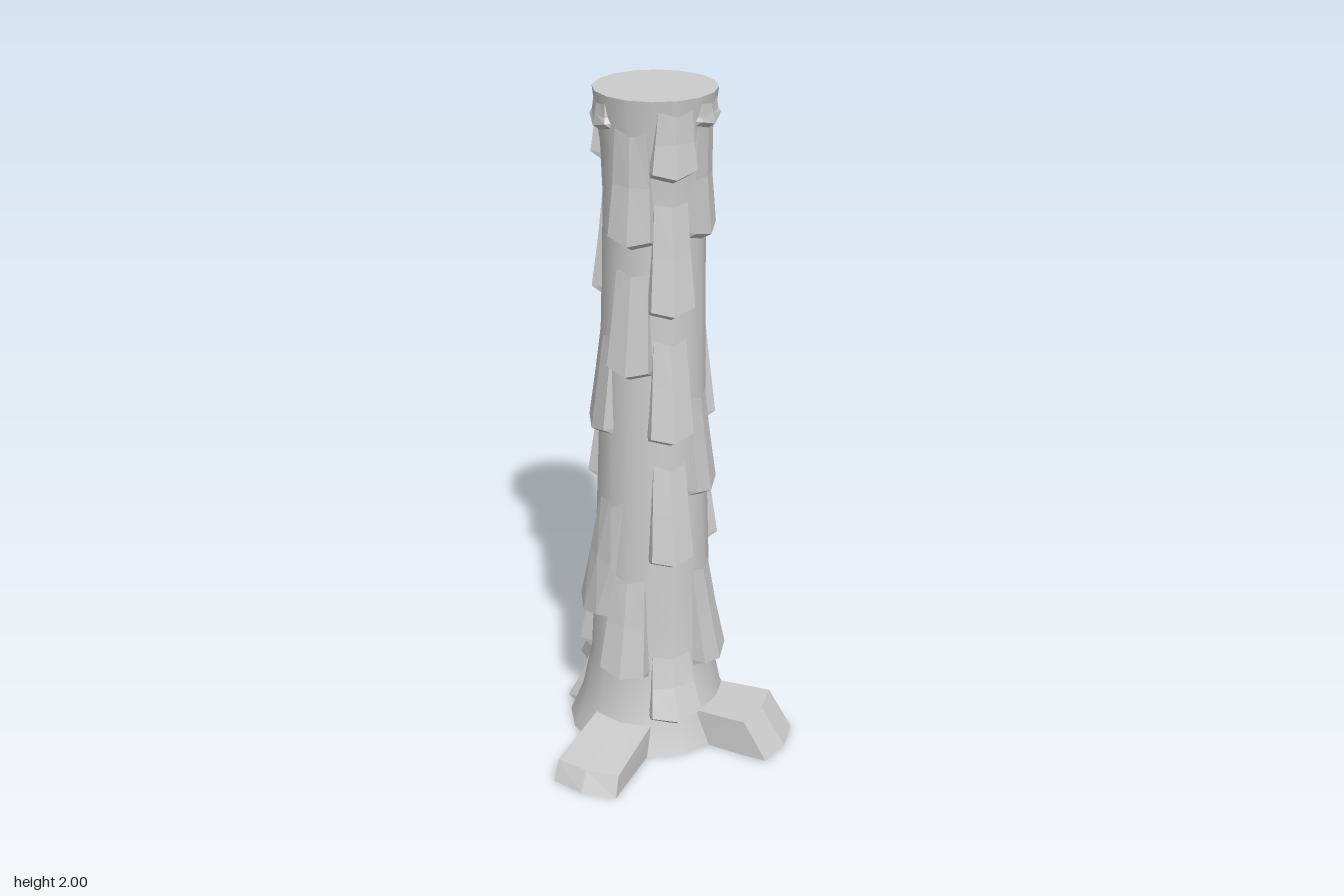
import * as THREE from 'three';

const material = new THREE.MeshStandardMaterial({ color: 0xcccccc });
const flatMaterial = new THREE.MeshStandardMaterial({ color: 0xcccccc, flatShading: true });

// Trunk profile as [height, radius], and its slightly wandering centre line
const PROFILE = [[0, 0.255], [0.1, 0.215], [0.25, 0.185], [0.5, 0.172], [1, 0.155],
  [1.5, 0.145], [1.7, 0.142], [1.85, 0.15], [2, 0.171]];

function radiusAt(y) {
  const i = Math.max(1, PROFILE.findIndex(([h]) => h >= y));
  const [y0, r0] = PROFILE[i - 1], [y1, r1] = PROFILE[i];
  return THREE.MathUtils.mapLinear(y, y0, y1, r0, r1);
}
const centreX = (y) => -0.04 + 0.01 * y;
const centreZ = (y) => -0.06 + 0.02 * Math.min(1, y / 0.8);

// Point at a distance out and sideways from the centre line; angle 0 is the front, 90 is +x
function place(degrees, out, side, y, atY = y) {
  const a = THREE.MathUtils.degToRad(degrees);
  return [centreX(atY) + out * Math.sin(a) + side * Math.cos(a), y,
    centreZ(atY) + out * Math.cos(a) - side * Math.sin(a)];
}

// Flat-shaded skin through equal cross-section loops
function skin(rows) {
  const pos = [];
  const n = rows[0].length;
  for (let i = 0; i < rows.length - 1; i++) {
    for (let j = 0; j < n; j++) {
      const k = (j + 1) % n;
      const a = rows[i][j], b = rows[i + 1][j], c = rows[i + 1][k], d = rows[i][k];
      pos.push(...a, ...b, ...c, ...a, ...c, ...d);
    }
  }
  const geometry = new THREE.BufferGeometry();
  geometry.setAttribute('position', new THREE.Float32BufferAttribute(pos, 3));
  geometry.computeVertexNormals();
  return geometry;
}

function addMesh(parent, name, geometry, mat) {
  const mesh = new THREE.Mesh(geometry, mat);
  mesh.name = name;
  parent.add(mesh);
  return mesh;
}

// Bark plate: flush at the top, lifting to a pointed lip with a slanted underside
function barkPlate(angle, bottom, { length = 0.36, lift = 0.03, half = 0.07, twist = 0 } = {}) {
  const top = Math.min(bottom + length, 1.99);
  const row = (y, offset, w, point, turn) => {
    const at = (side, extra, drop) => {
      const h = Math.max(0, y - drop);
      const r = radiusAt(h);
      return place(angle + turn, Math.sqrt(r * r - side * side) + offset + extra, side, h);
    };
    return [at(-w, -0.05 - offset, 0), at(-w, 0, 0), at(0, 0, point), at(w, 0, 0), at(w, -0.05 - offset, 0)];
  };
  const middle = (top + bottom) / 2;
  return skin([
    row(top, -0.006, half * 0.72, 0, twist),
    row(middle, lift * 0.42, half * 0.86, 0, twist / 2),
    row(bottom + 0.035, lift, half, 0.018, 0),
    row(bottom + 0.01, -0.015, half * 0.95, 0.018, 0),
  ]);
}

// Root: a blunt wedge reaching out along the ground, with a pointed end
function root(angle, crease, creaseHeight, end) {
  const row = (out, height, half, tip) => [
    place(angle, out, -half, 0, 0), place(angle, out, -half * 0.97, height, 0),
    place(angle, out + tip, 0, height, 0),
    place(angle, out, half * 0.97, height, 0), place(angle, out, half, 0, 0),
    place(angle, out + tip, 0, 0, 0),
  ];
  return skin([row(0.08, 0.105, 0.09, 0), row(crease, creaseHeight, 0.102, 0.015), row(end, 0, 0.104, 0.02)]);
}

export function createModel() {
  const model = new THREE.Group();
  model.name = 'treeTrunk';

  // Trunk: turned profile, shifted along the centre line
  const profile = [];
  for (let i = 0; i < PROFILE.length; i++) profile.push(new THREE.Vector2(PROFILE[i][1], PROFILE[i][0]));
  const trunk = new THREE.LatheGeometry(profile, 16);
  const p = trunk.attributes.position;
  for (let i = 0; i < p.count; i++) {
    const y = p.getY(i);
    p.setX(i, p.getX(i) + centreX(y));
    p.setZ(i, p.getZ(i) + centreZ(y));
  }
  addMesh(model, 'trunk', trunk, material);

  // Cut top and underside
  for (const [name, y, tilt] of [['cutTop', 2, -1], ['underside', 0, 1]]) {
    const cap = addMesh(model, name, new THREE.CircleGeometry(radiusAt(y), 16), material);
    cap.rotation.x = tilt * Math.PI / 2;
    cap.position.set(centreX(y), y, centreZ(y));
  }

  // Bark plates: lower edges for each column round the trunk
  const columns = {
    0: [0.23, 1.2, 1.58],
    45: [0.09, 0.61, 1.0, 1.38, 1.77],
    90: [0.24, 0.81, 1.59, 1.9],
    135: [0.61, 1.01],
    180: [0, 0.42, 0.81, 1.39, 1.78],
    225: [0.1, 0.62, 1.15, 1.58],
    270: [0, 0.22, 0.81, 1.39, 1.78],
    315: [0.4, 1.0, 1.89],
  };
  const bark = new THREE.Group();
  bark.name = 'bark';
  model.add(bark);
  for (const [angle, bottoms] of Object.entries(columns)) {
    for (const bottom of bottoms) {
      const options = { lift: bottom < 0.5 ? 0.042 : bottom > 1.85 ? 0.018 : 0.03, half: bottom < 0.5 ? 0.072 : 0.064 };
      if (bottom < 0.15) Object.assign(options, { length: 0.24, lift: 0.026, half: 0.078 });
      if (bottom === 0.4) Object.assign(options, { twist: 20, length: 0.42 });
      addMesh(bark, 'barkPlate', barkPlate(Number(angle), bottom, options), flatMaterial);
    }
  }

  // Roots: angle, crease distance, crease height, end distance
  for (const [angle, crease, height, end] of [[0, 0.435, 0.06, 0.462], [90, 0.352, 0.115, 0.425], [225, 0.365, 0.065, 0.414]]) {
    addMesh(model, 'root', root(angle, crease, height, end), flatMaterial);
  }
  return model;
}
